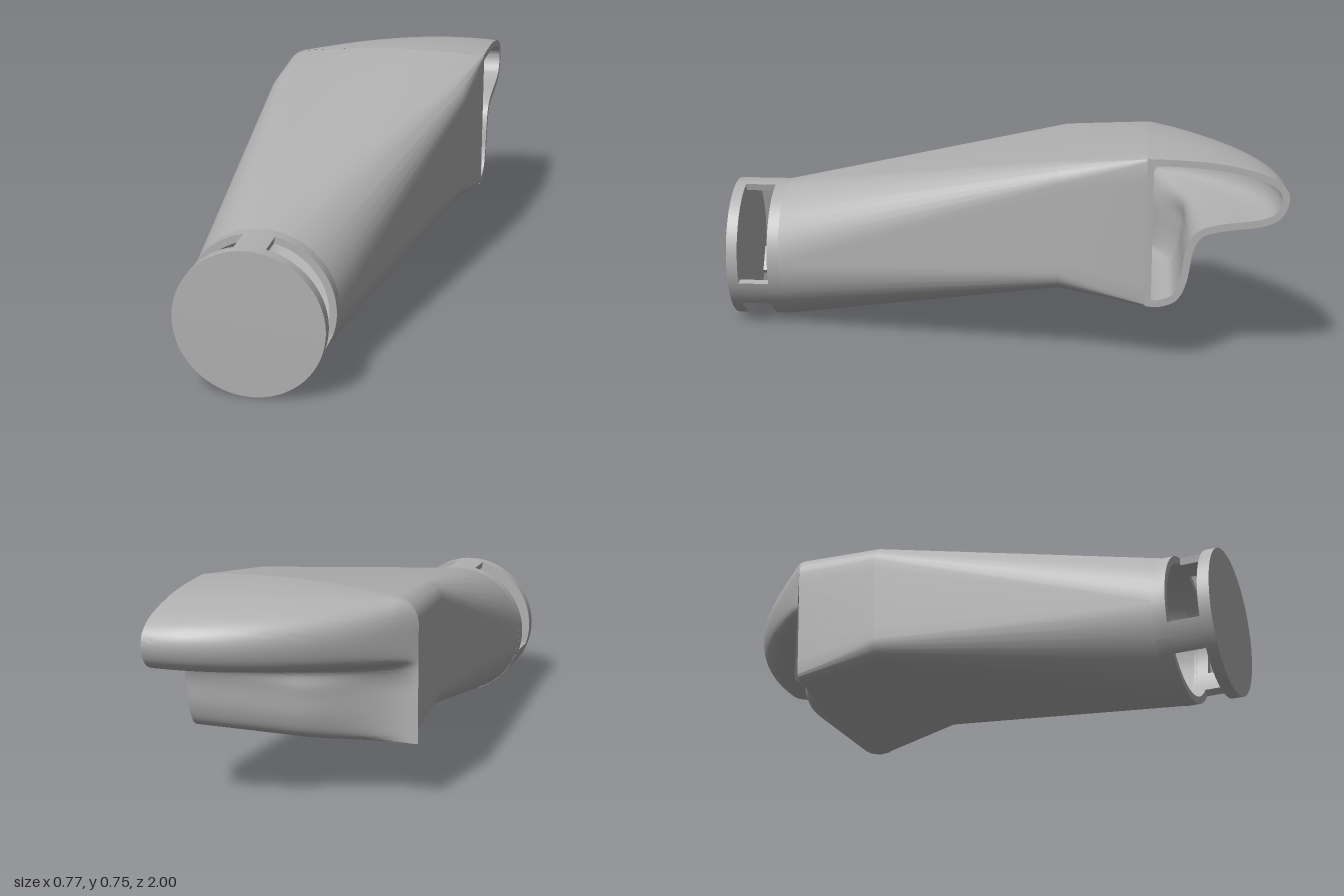
import * as THREE from 'three';
import { toCreasedNormals } from 'three/addons/utils/BufferGeometryUtils.js';

const V = (x, y, z) => new THREE.Vector3(x, y, z);
const lerp = THREE.MathUtils.lerp, smooth = THREE.MathUtils.smoothstep;
const CX = -0.12, CY = 0.255, R = 0.254, WALL = 0.025;
const BASE_Z = -0.52, LEFT = -0.385, RIGHT = 0.385;

// Skin a list of equal-length cross-sections; flip turns the faces inward.
function loft(rings, closed, flip) {
  const pos = [], n = rings[0].length;
  const tri = (a, b, c) => {
    const area = b.clone().sub(a).cross(c.clone().sub(a)).length();
    if (area < 1e-9) return;
    for (const p of flip ? [a, c, b] : [a, b, c]) pos.push(p.x, p.y, p.z);
  };
  for (let i = 0; i < rings.length - 1; i++) {
    for (let j = 0; j < (closed ? n : n - 1); j++) {
      const k = (j + 1) % n;
      const a = rings[i][j], b = rings[i][k], c = rings[i + 1][j], d = rings[i + 1][k];
      tri(a, c, b);
      tri(b, c, d);
    }
  }
  const geo = new THREE.BufferGeometry();
  geo.setAttribute('position', new THREE.Float32BufferAttribute(pos, 3));
  return toCreasedNormals(geo, 0.32);
}

// Height of the roof where the duct meets the nozzle.
function roofY(x) {
  if (x < -0.3) return 0.63 + Math.sqrt(Math.max(0, 0.085 ** 2 - (x + 0.3) ** 2));
  return lerp(0.715, 0.735, (x + 0.3) / 0.675) + 0.02 * Math.max(0, 1 - ((x - 0.04) / 0.345) ** 2);
}

// Rounded outline from four corner arcs [cx, cy, r]: +x+y, -x+y, -x-y, +x-y.
function outline(corners, z, roof) {
  const pts = [], N = 10, M = 8;
  corners.forEach(([cx, cy, r], q) => {
    for (let i = 0; i <= N; i++) {
      const a = (q + i / N) * Math.PI / 2;
      pts.push(V(cx + r * Math.cos(a), cy + r * Math.sin(a), z));
    }
    const [nx, ny, nr] = corners[(q + 1) % 4], a = (q + 1) * Math.PI / 2;
    const from = pts[pts.length - 1].clone();
    const to = V(nx + nr * Math.cos(a), ny + nr * Math.sin(a), z);
    for (let i = 1; i < M; i++) {
      const p = from.clone().lerp(to, i / M);
      if (roof && q === 0) p.y = roofY(p.x);
      pts.push(p);
    }
  });
  return pts;
}

// Shrink an outline by the wall thickness.
function inset(ring) {
  const box = new THREE.Box3().setFromPoints(ring);
  const c = box.getCenter(V(0, 0, 0)), s = box.getSize(V(0, 0, 0));
  return ring.map(p => V(
    c.x + (p.x - c.x) * (1 - 2 * WALL / s.x),
    c.y + (p.y - c.y) * (1 - 2 * WALL / s.y), p.z));
}

// Nozzle profile as (depth behind the duct, height), roof to floor.
function nozzleProfile() {
  const curve = new THREE.SplineCurve([
    [0, 0.745], [0.12, 0.742], [0.25, 0.73], [0.38, 0.7], [0.455, 0.66], [0.48, 0.605],
    [0.455, 0.54], [0.39, 0.507], [0.26, 0.488], [0.19, 0.465], [0.16, 0.41],
    [0.143, 0.31], [0.11, 0.24], [0.05, 0.214], [0, 0.216],
  ].map(p => new THREE.Vector2(...p)));
  const outer = [], inner = [];
  for (let i = 0; i <= 80; i++) {
    const p = curve.getPoint(i / 80), t = curve.getTangent(i / 80);
    outer.push(p);
    inner.push(new THREE.Vector2(Math.max(0, p.x + t.y * WALL), p.y - t.x * WALL));
  }
  return { outer, inner };
}

// Nozzle cross-section at one x: the upper lip and lower lobe taper separately.
function nozzleSection(profile, x) {
  const u = (x - LEFT) / (RIGHT - LEFT);
  const lip = 1 - Math.pow(1 - u, 2.1), lobe = smooth(x, -0.37, 0);
  const top = roofY(x);
  return profile.map(p => {
    const scale = lerp(lobe, lip, smooth(p.y, 0.4, 0.52));
    const y = p.y > 0.6 ? 0.6 + (p.y - 0.6) * (top - 0.6) / 0.145 : p.y;
    return V(x, y, BASE_Z - p.x * scale);
  });
}

// Arc-shaped wall piece of the collar.
function arcWall(a0, a1, depth) {
  const s = new THREE.Shape();
  s.absarc(0, 0, R, a0, a1, false);
  s.absarc(0, 0, R - WALL, a1, a0, true);
  return toCreasedNormals(new THREE.ExtrudeGeometry(s, { depth, bevelEnabled: false, curveSegments: 16 }), 0.5);
}

export function createModel() {
  const model = new THREE.Group();
  model.name = 'ductNozzle';
  const grey = new THREE.MeshStandardMaterial({ color: 0xb0b0b0, side: THREE.DoubleSide });
  grey.name = 'plain grey';
  const add = (name, geo, parent = model) => {
    const m = new THREE.Mesh(geo, grey);
    m.name = name;
    parent.add(m);
    return m;
  };

  // Duct body: round inlet, rounded rectangle, then the nozzle base
  const round = Array(4).fill([CX, CY, R]);
  const middle = [[0.29, 0.632, 0.07], [-0.3, 0.632, 0.07], [-0.3, 0.32, 0.07], [0.29, 0.32, 0.07]];
  const end = [[0.375, 0.725, 0.01], [-0.3, 0.63, 0.085], [-0.335, 0.245, 0.03], [0.375, 0.225, 0.01]];
  const rings = [outline(round, 0.81), outline(middle, -0.22), outline(end, BASE_Z, true)];
  add('ductOuterSkin', loft(rings, true, false));
  add('ductInnerSkin', loft(rings.map(inset), true, true));

  // Side-opening nozzle: outer and inner skins joined by a rim
  const { outer, inner } = nozzleProfile();
  const sweep = (profile, x0) => {
    const list = [];
    for (let i = 0; i <= 40; i++) {
      list.push(nozzleSection(profile, lerp(x0, RIGHT, Math.pow(i / 40, 1.4))));
    }
    return list;
  };
  const outerSections = sweep(outer, LEFT), innerSections = sweep(inner, -0.345);
  add('nozzleOuterSkin', loft(outerSections, false, false));
  add('nozzleInnerSkin', loft(innerSections, false, true));
  add('nozzleRim', loft([outerSections[40], innerSections[40]], false, false));

  // Upright edge of the opening
  const jamb = add('openingEdge', new THREE.BoxGeometry(WALL, 0.505, 0.022));
  jamb.position.set(RIGHT - WALL / 2, 0.478, BASE_Z - 0.011);

  // Slotted collar with a closed front
  const collar = new THREE.Group();
  collar.name = 'collar';
  collar.position.set(CX, CY, 0);
  model.add(collar);
  const third = Math.PI * 2 / 3, half = THREE.MathUtils.degToRad(12);
  for (let i = 0; i < 3; i++) {
    const mid = Math.PI / 2 + i * third;
    add('collarBar', arcWall(mid - half, mid + half, 0.11), collar).position.z = 0.85;
    add('collarRing', arcWall(mid, mid + third, 0.05), collar).position.z = 0.8;
  }
  const cap = add('frontCap', new THREE.CylinderGeometry(R, R, 0.04, 64), collar);
  cap.rotation.x = Math.PI / 2;
  cap.position.z = 0.98;
  return model;
}
